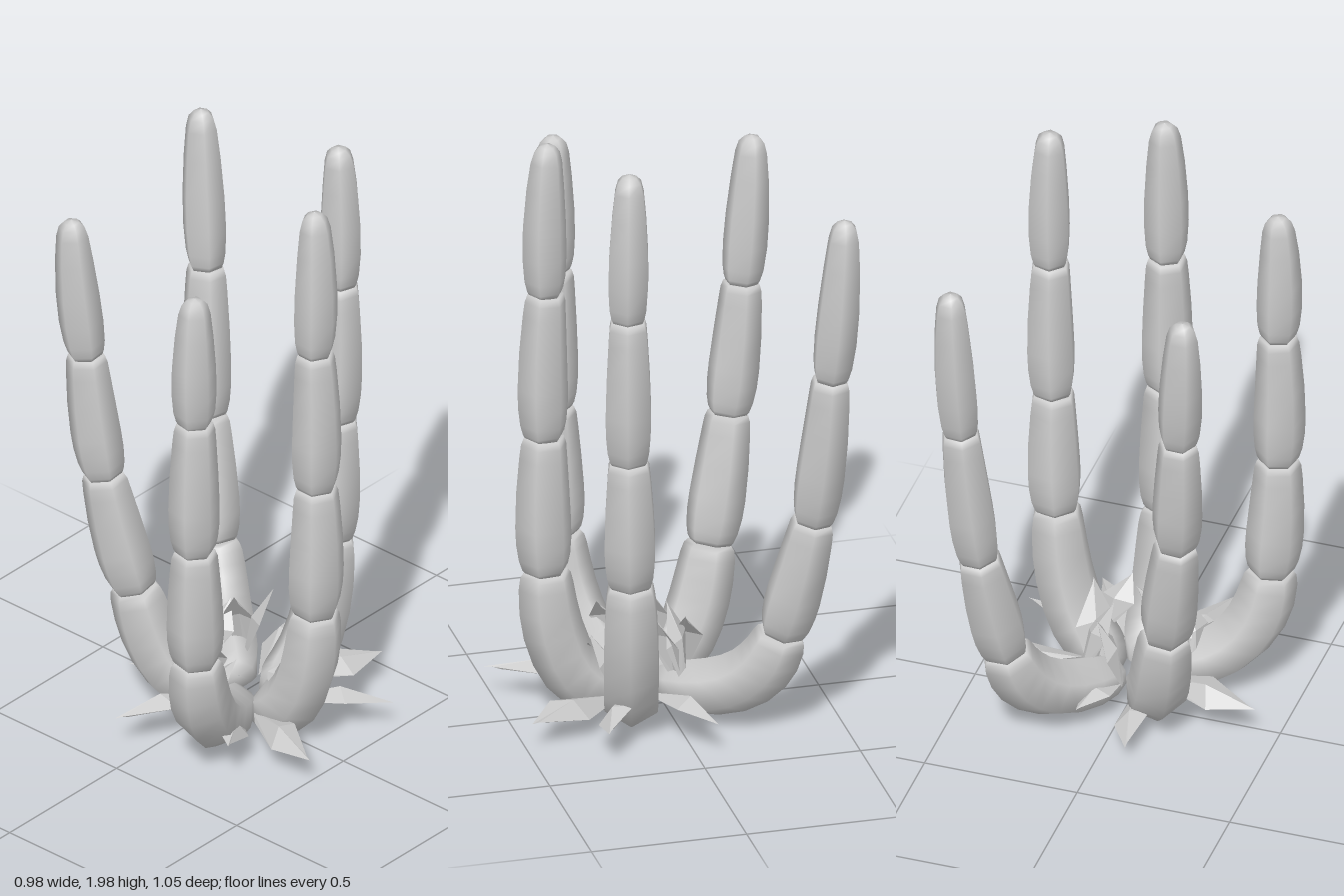
import * as THREE from 'three';

const V = (a) => new THREE.Vector3(...a);
const SIDES = 6;

// Lofts a six-sided skin along a curve; profile = [position 0..1, radius factor]
function loft(curve, profile, radiusAt, side) {
  const pos = [], index = [];
  profile.forEach(([t, f], i) => {
    const c = curve.getPoint(t), dir = curve.getTangent(t);
    const u = new THREE.Vector3().crossVectors(side, dir).normalize();
    const w = new THREE.Vector3().crossVectors(dir, u);
    const r = f * radiusAt(t);
    for (let j = 0; j < SIDES; j++) {
      const a = (j / SIDES) * Math.PI * 2;
      const p = c.clone().addScaledVector(u, r * Math.cos(a)).addScaledVector(w, r * Math.sin(a));
      pos.push(p.x, p.y, p.z);
      if (i) {
        const k = (j + 1) % SIDES, b = (i - 1) * SIDES, n = i * SIDES;
        index.push(b + j, b + k, n + k, b + j, n + k, n + j);
      }
    }
  });
  const g = new THREE.BufferGeometry();
  g.setAttribute('position', new THREE.Float32BufferAttribute(pos, 3));
  g.setIndex(index);
  g.computeVertexNormals();
  return g;
}

// Segment profiles: curved root, barrel-shaped joint, rounded tip
const ROOT = [[0, 0.02], [0, 0.5], [0.06, 0.75], [0.15, 0.9], [0.28, 0.98], [0.42, 1], [0.56, 1],
  [0.7, 0.99], [0.82, 0.96], [0.93, 0.9], [0.98, 0.83], [1, 0.72], [1, 0.02]];
const JOINT = [[0, 0.02], [0, 0.72], [0.03, 0.82], [0.1, 0.92], [0.22, 0.99], [0.35, 1],
  [0.6, 0.95], [0.85, 0.86], [0.95, 0.81], [1, 0.72], [1, 0.02]];
const TIP = [[0, 0.02], [0, 0.72], [0.03, 0.82], [0.1, 0.93], [0.25, 1], [0.45, 0.98],
  [0.7, 0.86], [0.88, 0.72], [0.95, 0.58], [0.985, 0.35], [1, 0.02]];

// Each stalk: root start, then the three joints and the tip
const STALKS = [
  [[-0.05, 0.12, 0.11], [-0.39, 0.46, 0.235], [-0.41, 0.88, 0.245], [-0.41, 1.35, 0.245], [-0.41, 1.81, 0.245]],
  [[0, 0.1, 0.15], [0, 0.52, 0.38], [0, 0.98, 0.385], [0, 1.47, 0.38], [0.005, 1.985, 0.375]],
  [[0.07, 0.1, 0.12], [0.295, 0.58, 0.185], [0.31, 1.01, 0.195], [0.32, 1.5, 0.2], [0.32, 2, 0.195]],
  [[0.04, 0.12, 0.03], [0.3, 0.36, -0.3], [0.36, 0.76, -0.385], [0.405, 1.26, -0.43], [0.425, 1.81, -0.47]],
  [[-0.05, 0.12, 0.03], [-0.19, 0.46, -0.2], [-0.25, 0.87, -0.275], [-0.275, 1.3, -0.325], [-0.3, 1.79, -0.365]],
];

function makeStalk(points, material) {
  const stalk = new THREE.Group();
  stalk.name = 'stalk';
  const p = points.map(V);
  const out = p[1].clone().sub(p[0]).setY(0);
  const reach = out.length();
  out.normalize();
  const side = new THREE.Vector3(out.z, 0, -out.x);
  const add = (name, curve, profile, radius) => {
    const mesh = new THREE.Mesh(loft(curve, profile, radius, side), material);
    mesh.name = name;
    stalk.add(mesh);
  };
  // Root runs outwards along the ground and bends upwards
  const rise = p[2].clone().sub(p[1]).normalize();
  const low = p[0].clone().addScaledVector(out, reach * 0.6).setY(p[0].y - 0.02);
  const high = p[1].clone().addScaledVector(rise, -(p[1].y - 0.1) * 0.6);
  add('root', new THREE.CubicBezierCurve3(p[0], low, high, p[1]), ROOT, () => 0.098);
  // Upper segments grow slimmer and bow a little
  [0.09, 0.081, 0.071].forEach((r, i) => {
    const a = p[i + 1], b = p[i + 2];
    const mid = a.clone().lerp(b, 0.5).addScaledVector(out, 0.012);
    add(i < 2 ? 'segment' : 'tip', new THREE.QuadraticBezierCurve3(a, mid, b), i < 2 ? JOINT : TIP, () => r);
  });
  return stalk;
}

// Folded pointed leaf: base, tip, width, fold depth, roll about its own length
function makeLeaf([base, tip, width, fold, roll], material) {
  const a = V(base), b = V(tip);
  const dir = b.clone().sub(a).normalize();
  const across = new THREE.Vector3(-dir.z, 0, dir.x).normalize().applyAxisAngle(dir, roll);
  const up = new THREE.Vector3().crossVectors(across, dir);
  const pos = [];
  const rows = [[0, 0.3, 0], [0.55, 1, 0.8], [1, 0.08, -0.4]].map(([t, w, lift]) =>
    [-1, 0, 1].map((s) => a.clone().lerp(b, t + 0.08 * s)
      .addScaledVector(across, s * w * width / 2)
      .addScaledVector(up, fold * (lift - Math.abs(s) * w))));
  for (let i = 0; i < 2; i++) for (let j = 0; j < 2; j++) {
    const [q, r, s, t] = [rows[i][j], rows[i][j + 1], rows[i + 1][j + 1], rows[i + 1][j]];
    for (const v of [q, r, s, q, s, t]) pos.push(v.x, v.y, v.z);
  }
  const g = new THREE.BufferGeometry();
  g.setAttribute('position', new THREE.Float32BufferAttribute(pos, 3));
  g.computeVertexNormals();
  const mesh = new THREE.Mesh(g, material);
  mesh.name = 'leaf';
  return mesh;
}

// Broad leaves spreading between the stalks
const OUTER = [
  [[-0.1, 0.12, 0.03], [-0.41, 0.16, -0.06], 0.13, 0.04, 0.3],
  [[0.13, 0.12, 0.06], [0.41, 0.15, -0.06], 0.13, 0.04, -0.3],
  [[-0.07, 0.1, 0.19], [-0.18, 0.14, 0.5], 0.12, 0.04, 0.3],
  [[0.07, 0.1, 0.2], [0.24, 0.13, 0.46], 0.13, 0.04, -0.3],
  [[0.15, 0.13, 0.17], [0.4, 0.15, 0.28], 0.12, 0.03, 0.5],
  [[-0.13, 0.12, 0.16], [-0.32, 0.17, 0.32], 0.12, 0.03, -0.5],
  [[-0.04, 0.1, -0.02], [-0.09, 0.1, -0.29], 0.11, 0.03, 0.3],
  [[0.03, 0.12, -0.03], [0.09, 0.14, -0.21], 0.09, 0.03, 0.2],
];
// Upright leaves inside the cluster: position, height, heading
const INNER = [
  [-0.1, 0.02, 0.4, 0.4], [-0.13, 0.06, 0.36, 2.2], [-0.17, 0.13, 0.32, 1], [0.1, -0.02, 0.38, 2.7],
  [0.12, 0.03, 0.4, 1.2], [0.03, -0.06, 0.34, 0.2], [0.11, 0.22, 0.32, 2.3], [0, 0.25, 0.28, 0.1],
];

export function createModel() {
  const model = new THREE.Group();
  model.name = 'stalkCluster';
  const skin = new THREE.MeshStandardMaterial({ color: 0xcccccc });
  const leafMaterial = new THREE.MeshStandardMaterial({ color: 0xcccccc, flatShading: true, side: THREE.DoubleSide });
  for (const s of STALKS) model.add(makeStalk(s, skin));

  const leaves = new THREE.Group();
  leaves.name = 'leaves';
  for (const l of OUTER) leaves.add(makeLeaf(l, leafMaterial));
  for (const [x, z, h, a] of INNER) {
    const dx = 0.04 * Math.cos(a), dz = 0.04 * Math.sin(a);
    leaves.add(makeLeaf([[x - dx, 0.16, z - dz], [x + dx, h, z + dz], 0.12, 0.025, 0.3], leafMaterial));
  }
  model.add(leaves);
  return model;
}
